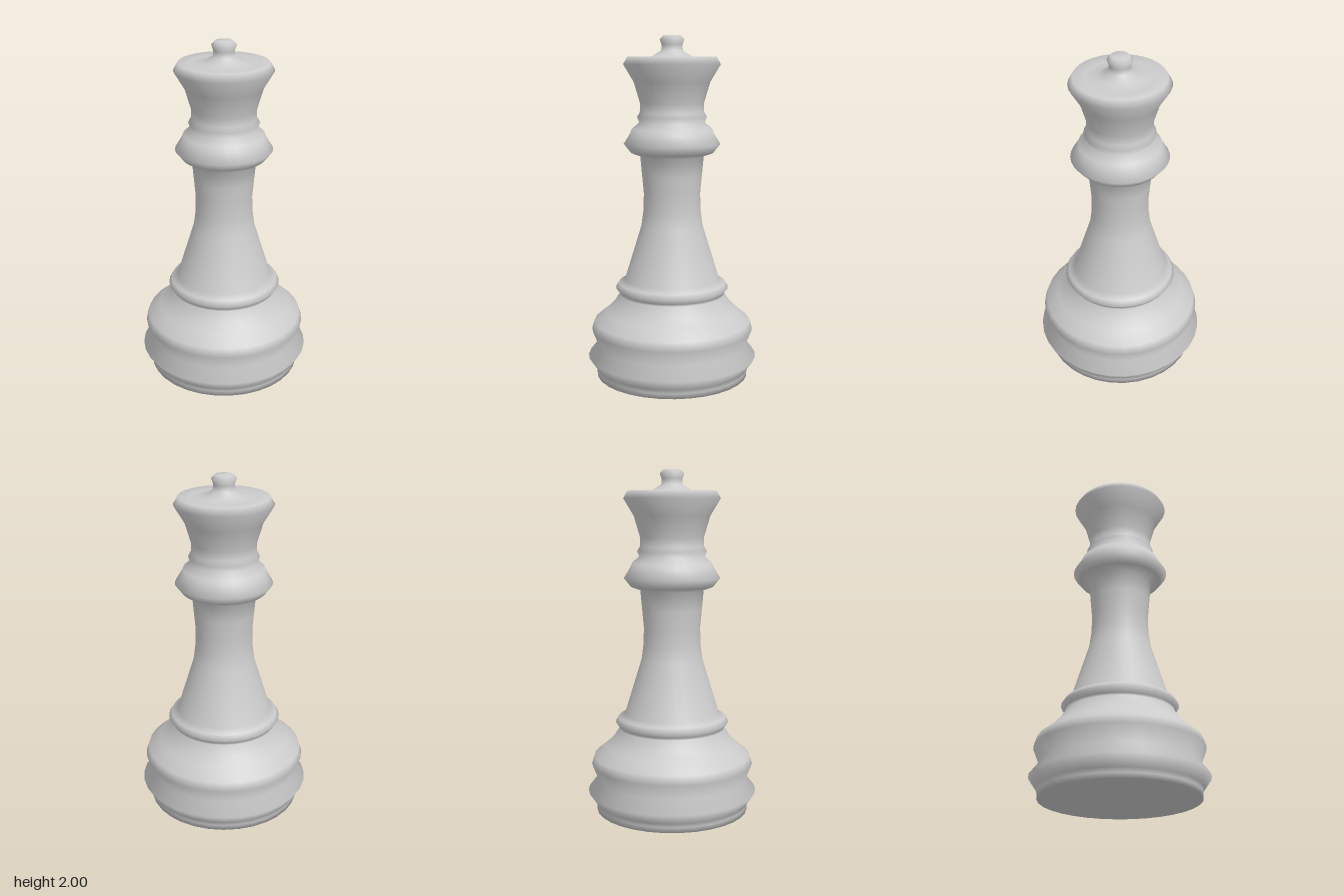
import * as THREE from 'three';

const SIDES = 32;

// Turned profile as [radius, height], bottom to top, one run per part;
// each part starts on the last ring of the part below it.
const parts = {
  base: [[0, 0], [0.45, 0], [0.45, 0.03], [0.457, 0.055], [0.5, 0.117], [0.443, 0.19],
    [0.478, 0.28], [0.462, 0.33], [0.39, 0.388], [0.345, 0.435], [0.31, 0.49],
    [0.312, 0.503], [0.333, 0.53], [0.315, 0.56], [0.278, 0.582]],
  stem: [[0.18, 0.9], [0.168, 0.99], [0.165, 1.09], [0.175, 1.2], [0.185, 1.31]],
  collar: [[0.24, 1.33], [0.28, 1.38], [0.243, 1.44], [0.232, 1.468], [0.19, 1.503]],
  crown: [[0.202, 1.535], [0.186, 1.562], [0.185, 1.615], [0.22, 1.735], [0.28, 1.835],
    [0.255, 1.878], [0.19, 1.87]],
  finial: [[0.115, 1.88], [0.062, 1.912], [0.06, 1.945], [0.07, 1.975], [0.05, 1.997], [0, 2]],
};

export function createModel() {
  const group = new THREE.Group();
  group.name = 'chessPiece';
  const material = new THREE.MeshStandardMaterial({ color: 0xcccccc });

  // Whole profile, used for continuous normals across the joins
  const all = Object.values(parts).flat().map(([r, y]) => new THREE.Vector2(r, y));
  const whole = new THREE.LatheGeometry(all, SIDES).attributes.normal;

  let start = 0;
  for (const [name, run] of Object.entries(parts)) {
    const first = Math.max(0, start - 1);
    const points = all.slice(first, start + run.length);
    const geometry = new THREE.LatheGeometry(points, SIDES);
    const normal = geometry.attributes.normal;
    for (let i = 0; i <= SIDES; i++) {
      for (let j = 0; j < points.length; j++) {
        const k = i * all.length + first + j;
        normal.setXYZ(i * points.length + j, whole.getX(k), whole.getY(k), whole.getZ(k));
      }
    }
    const mesh = new THREE.Mesh(geometry, material);
    mesh.name = name;
    group.add(mesh);
    start += run.length;
  }
  return group;
}
